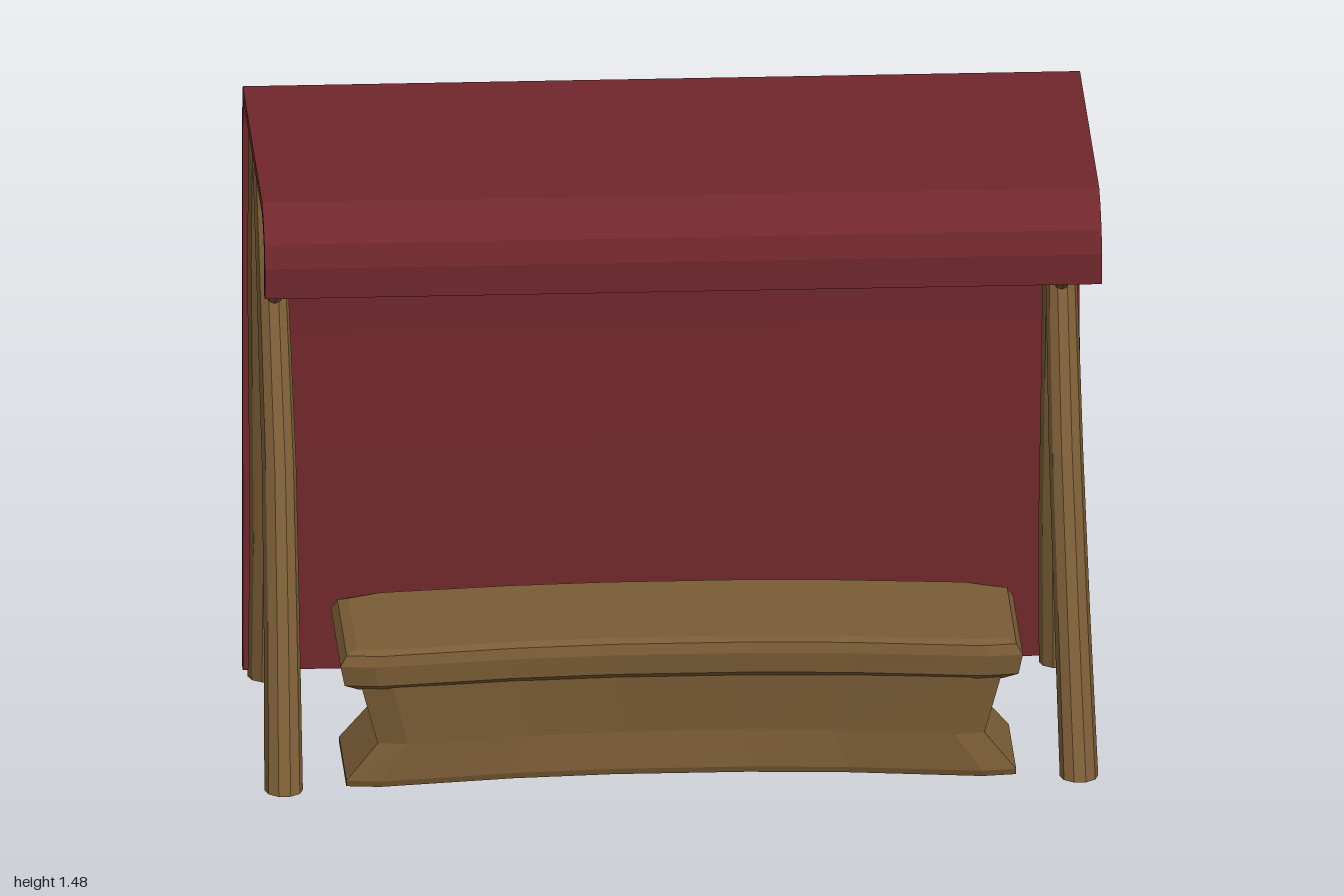
import * as THREE from 'three';

const wood = new THREE.MeshStandardMaterial({ color: 0x7a5c36, flatShading: true });
const cloth = new THREE.MeshStandardMaterial({ color: 0x70272b, flatShading: true });

// Closed solid from horizontal rings, listed bottom to top, each counter-clockwise from above
function stack(rings) {
  const n = rings[0].length;
  const pos = rings.flat(2);
  const index = [];
  for (let r = 0; r < rings.length - 1; r++) {
    for (let i = 0; i < n; i++) {
      const a = r * n + i, b = r * n + (i + 1) % n;
      index.push(a, b, b + n, a, b + n, a + n);
    }
  }
  for (const r of [0, rings.length - 1]) {
    const centre = [0, 1, 2].map(k => rings[r].reduce((s, p) => s + p[k], 0) / n);
    const c = pos.length / 3;
    pos.push(...centre);
    for (let i = 0; i < n; i++) {
      const a = r * n + i, b = r * n + (i + 1) % n;
      index.push(c, ...(r ? [a, b] : [b, a]));
    }
  }
  const g = new THREE.BufferGeometry();
  g.setAttribute('position', new THREE.Float32BufferAttribute(pos, 3));
  g.setIndex(index);
  g.computeVertexNormals();
  return g;
}

// Round pole section with horizontal cut
function poleRing([y, x, z, rx, rz]) {
  return Array.from({ length: 10 }, (_, i) => {
    const t = i / 10 * Math.PI * 2;
    return [x + rx * Math.cos(t), y, z - rz * Math.sin(t)];
  });
}

// Counter section: both long edges bow towards the back in the middle
function counterRing([y, half, front, back, frontBow, backBow]) {
  const ring = [];
  const steps = [1, 0.9, 0.5, 0.2, -0.2, -0.5, -0.9, -1];
  const inset = t => (Math.abs(t) === 1 ? 0.025 : 0);
  for (const t of steps) ring.push([half * t, y, back + inset(t) - backBow * (1 - t * t)]);
  for (const t of steps) ring.push([-half * t, y, front - inset(t) - frontBow * (1 - t * t)]);
  return ring;
}

export function createModel() {
  const model = new THREE.Group();
  const add = (name, geometry, material) => {
    const mesh = new THREE.Mesh(geometry, material);
    mesh.name = name;
    model.add(mesh);
    return mesh;
  };

  // Cloth canopy: front drop, rounded front, flat roof and hanging back
  const profile = [
    [0.505, 1.275], [0.505, 1.35], [0.485, 1.405], [0.435, 1.45], [0.38, 1.475],
    [-0.46, 1.475], [-0.488, 1.4], [-0.497, 1.2], [-0.497, 0.85], [-0.489, 0.55], [-0.487, 0],
    [-0.457, 0], [-0.461, 0.55], [-0.472, 0.85], [-0.47, 1.2], [-0.461, 1.38], [-0.445, 1.447],
    [0.38, 1.447], [0.425, 1.425], [0.462, 1.39], [0.477, 1.345], [0.477, 1.275],
  ];
  const shape = new THREE.Shape(profile.map(p => new THREE.Vector2(...p)));
  const canopy = new THREE.ExtrudeGeometry(shape, { depth: 2, bevelEnabled: false });
  canopy.translate(0, 0, -1).rotateY(-Math.PI / 2);
  add('canopy', canopy, cloth);

  for (const side of [1, -1]) {
    const label = side > 0 ? 'left' : 'right';
    const pole = rows => stack(rows.map(([y, x, z, rx, rz]) => poleRing([y, x * side, z, rx, rz])));

    // Upright rear post, slightly crooked
    add(label + 'RearPost', pole([
      [0, 0.945, -0.412, 0.046, 0.048], [0.35, 0.942, -0.413, 0.044, 0.047],
      [0.75, 0.947, -0.417, 0.042, 0.046], [1.05, 0.95, -0.411, 0.042, 0.046],
      [1.448, 0.945, -0.41, 0.043, 0.046],
    ]), wood);

    // Leaning front leg
    add(label + 'FrontLeg', pole([
      [0, 0.95, 0.41, 0.046, 0.052], [0.35, 0.944, 0.218, 0.043, 0.05],
      [0.69, 0.94, 0.025, 0.041, 0.05], [1.03, 0.942, -0.205, 0.038, 0.048],
      [1.31, 0.945, -0.4, 0.035, 0.042],
    ]), wood);

    // Thin strut from the leg to the canopy front
    const from = new THREE.Vector3(0.94 * side, 1.033, -0.195);
    const to = new THREE.Vector3(0.945 * side, 1.368, 0.475);
    const strut = add(label + 'Strut', new THREE.CylinderGeometry(0.015, 0.019, from.distanceTo(to), 8), wood);
    strut.position.copy(from).lerp(to, 0.5);
    strut.quaternion.setFromUnitVectors(new THREE.Vector3(0, 1, 0), to.clone().sub(from).normalize());
  }

  // Counter body: flared foot, narrow waist, widening under the top
  add('counterBody', stack([
    [0.005, 0.8, 0.43, 0.065, 0.08, 0.015],
    [0.02, 0.8, 0.435, 0.065, 0.08, 0.015],
    [0.11, 0.725, 0.425, 0.08, 0.08, 0.02],
    [0.26, 0.765, 0.437, 0.06, 0.08, 0.02],
  ].map(counterRing)), wood);

  // Thick rounded counter top
  add('counterTop', stack([
    [0.247, 0.77, 0.425, 0.01, 0.075, 0.05],
    [0.265, 0.805, 0.448, -0.015, 0.075, 0.06],
    [0.315, 0.815, 0.453, -0.02, 0.075, 0.06],
    [0.34, 0.8, 0.445, -0.01, 0.075, 0.06],
    [0.35, 0.775, 0.425, 0.01, 0.075, 0.06],
  ].map(counterRing)), wood);

  return model;
}
